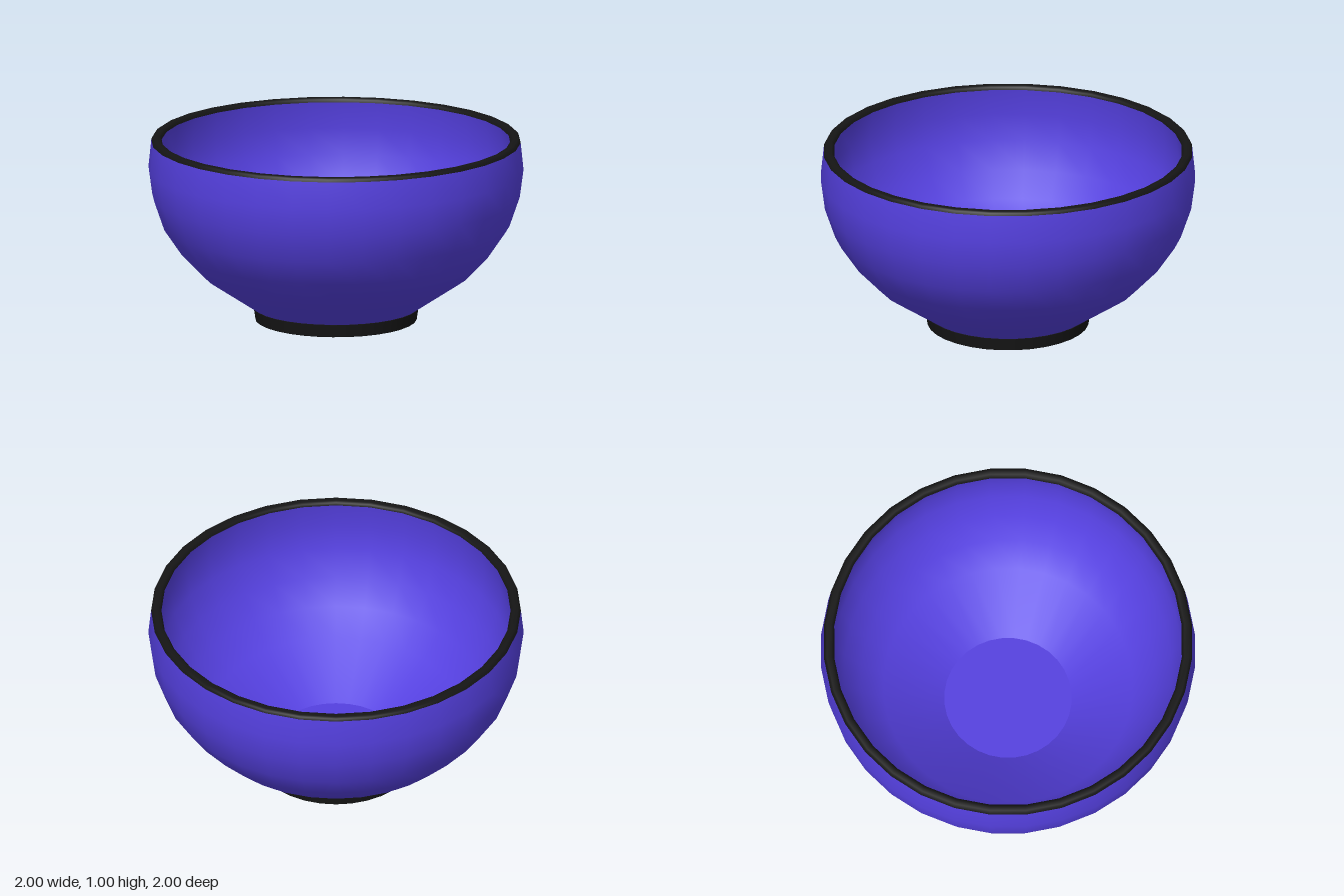
import * as THREE from 'three';

const SEGMENTS = 32;
const blue = new THREE.MeshStandardMaterial({ color: 0x5540e0 });
const black = new THREE.MeshStandardMaterial({ color: 0x151515 });

// Revolves a profile of [radius, height] points around y; one smooth surface.
function turned(name, material, profile) {
  const points = profile.map(([r, y]) => new THREE.Vector2(r, y));
  const mesh = new THREE.Mesh(new THREE.LatheGeometry(points, SEGMENTS), material);
  mesh.name = name;
  return mesh;
}

export function createModel() {
  const group = new THREE.Group();
  group.name = 'bowl';

  // Bowl: outer wall going up, inner wall going down, flat floor
  group.add(
    turned('outerWall', blue, [
      [0.435, 0.07], [0.705, 0.25], [0.83, 0.38], [0.925, 0.52],
      [0.98, 0.68], [1, 0.83], [0.985, 0.975],
    ]),
    turned('innerWall', blue, [
      [0.93, 0.975], [0.95, 0.83], [0.93, 0.69], [0.875, 0.54],
      [0.785, 0.41], [0.665, 0.29], [0.34, 0.1],
    ]),
    turned('floor', blue, [[0.34, 0.1], [0, 0.1]]),
  );

  // Dark band along the lip
  group.add(turned('rim', black, [
    [0.985, 0.975], [0.98, 0.989], [0.97, 0.996], [0.945, 0.996], [0.934, 0.989], [0.93, 0.975],
  ]));

  // Foot ring, with the recessed underside of the bowl inside it
  group.add(
    turned('underside', blue, [[0, 0.03], [0.35, 0.03]]),
    turned('footInside', black, [[0.35, 0.03], [0.365, 0.005]]),
    turned('footBottom', black, [[0.365, 0.005], [0.375, 0], [0.42, 0], [0.43, 0.005]]),
    turned('footOutside', black, [[0.43, 0.005], [0.44, 0.07]]),
    turned('footTop', black, [[0.44, 0.07], [0.43, 0.072]]),
  );
  return group;
}
